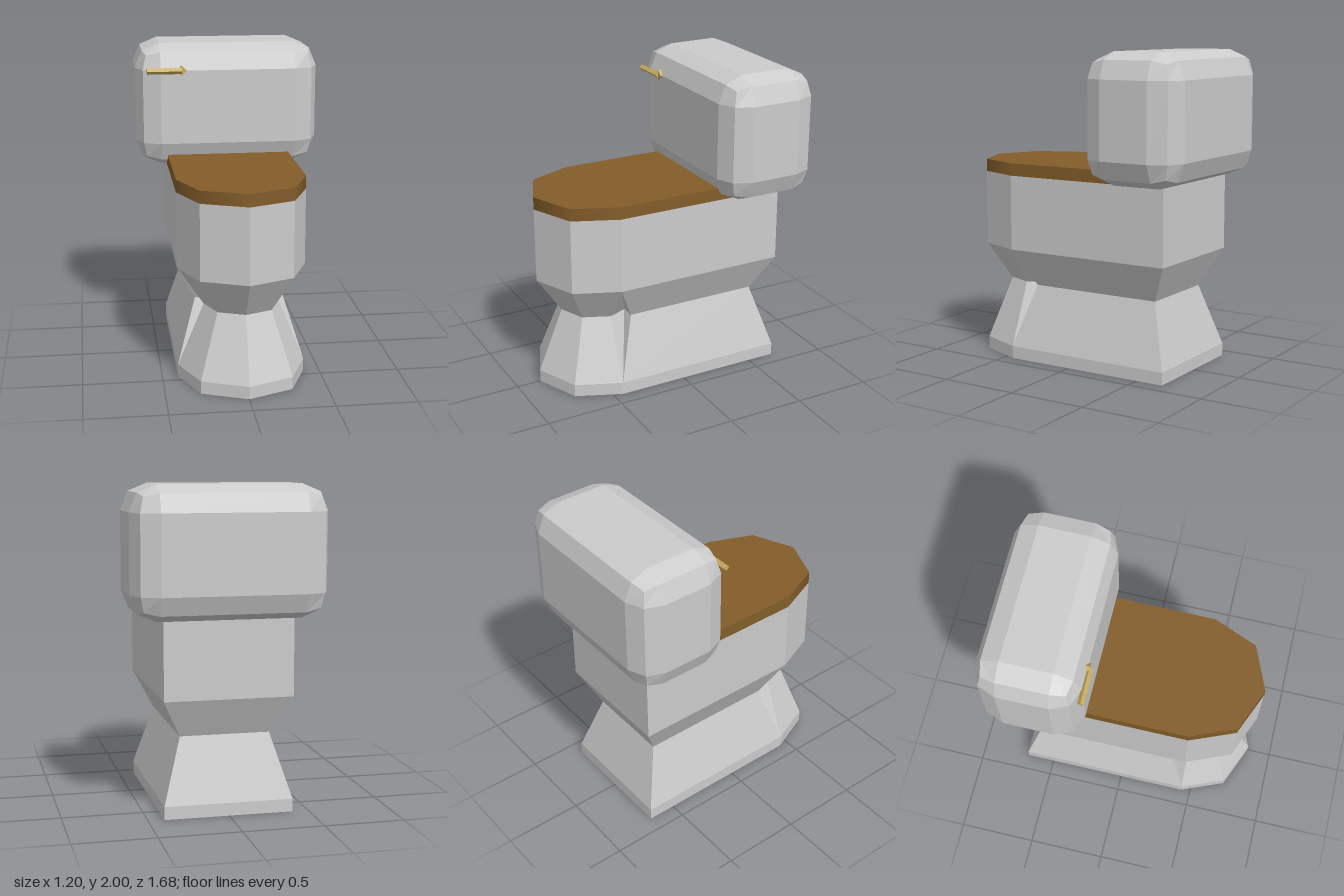
import * as THREE from 'three';
import { RoundedBoxGeometry } from 'three/addons/geometries/RoundedBoxGeometry.js';

const ceramic = new THREE.MeshStandardMaterial({ color: 0xcccccc, flatShading: true });
const wood = new THREE.MeshStandardMaterial({ color: 0x835d2a });
const brass = new THREE.MeshStandardMaterial({ color: 0xc9ad60, flatShading: true });

function part(parent, name, geometry, material, x = 0, y = 0, z = 0) {
  const mesh = new THREE.Mesh(geometry, material);
  mesh.name = name;
  mesh.position.set(x, y, z);
  parent.add(mesh);
  return mesh;
}

// Box whose horizontal rows sit at the given heights, drawn in by an inset at each
function waistedBox(width, depth, rows) {
  const g = new THREE.BoxGeometry(width, 1, depth, 1, rows.length - 1, 1);
  const p = g.attributes.position;
  for (let i = 0; i < p.count; i++) {
    const [y, inset] = rows[Math.round((p.getY(i) + 0.5) * (rows.length - 1))];
    p.setXYZ(i,
      p.getX(i) - Math.sign(p.getX(i)) * inset,
      y,
      p.getZ(i) - Math.sign(p.getZ(i)) * inset);
  }
  return g;
}

export function createModel() {
  const model = new THREE.Group();
  model.name = 'toilet';
  const noseZ = 0.44, backZ = -0.68, radius = 0.4;

  // Bowl and pedestal: a waisted block with an octagonal nose
  const bowl = new THREE.Group();
  bowl.name = 'bowl';
  model.add(bowl);
  const rows = [[0, 0], [0.08, 0], [0.48, 0.12], [0.72, 0], [1.2, 0]];
  part(bowl, 'bowlBody', waistedBox(2 * radius, noseZ - backZ, rows), ceramic,
    0, 0, (noseZ + backZ) / 2);
  const profile = [[0, 0], [0.4, 0], [0.4, 0.08], [0.236, 0.48], [0.4, 0.72], [0.4, 1.2], [0, 1.2]]
    .map(([r, y]) => new THREE.Vector2(r, y));
  part(bowl, 'bowlNose', new THREE.LatheGeometry(profile, 8), ceramic, 0, 0, noseZ);

  // Lid: flat slab with a smooth-shaded half-octagon front
  const lid = new THREE.Group();
  lid.name = 'lid';
  model.add(lid);
  const lidBack = -0.6;
  part(lid, 'lidSlab', new THREE.BoxGeometry(2 * radius, 0.08, noseZ - lidBack), wood,
    0, 1.24, (noseZ + lidBack) / 2);
  part(lid, 'lidNose',
    new THREE.CylinderGeometry(radius, radius, 0.08, 4, 1, false, -Math.PI / 2, Math.PI),
    wood, 0, 1.24, noseZ);

  // Cistern with faceted rounded edges
  part(model, 'cistern', new RoundedBoxGeometry(1.2, 0.8, 0.64, 1, 0.16), ceramic, 0, 1.6, -0.52);

  // Flush handle: diamond-section pivot and lever
  const handle = new THREE.Group();
  handle.name = 'flushHandle';
  handle.position.set(-0.305, 1.84, -0.188);
  model.add(handle);
  part(handle, 'handlePivot', new THREE.CylinderGeometry(0.033, 0.033, 0.04, 4), brass, 0, 0, -0.02)
    .rotation.x = Math.PI / 2;
  part(handle, 'handleLever', new THREE.CylinderGeometry(0.02, 0.02, 0.225, 4), brass, -0.1125, 0, 0)
    .rotation.z = Math.PI / 2;

  return model;
}
